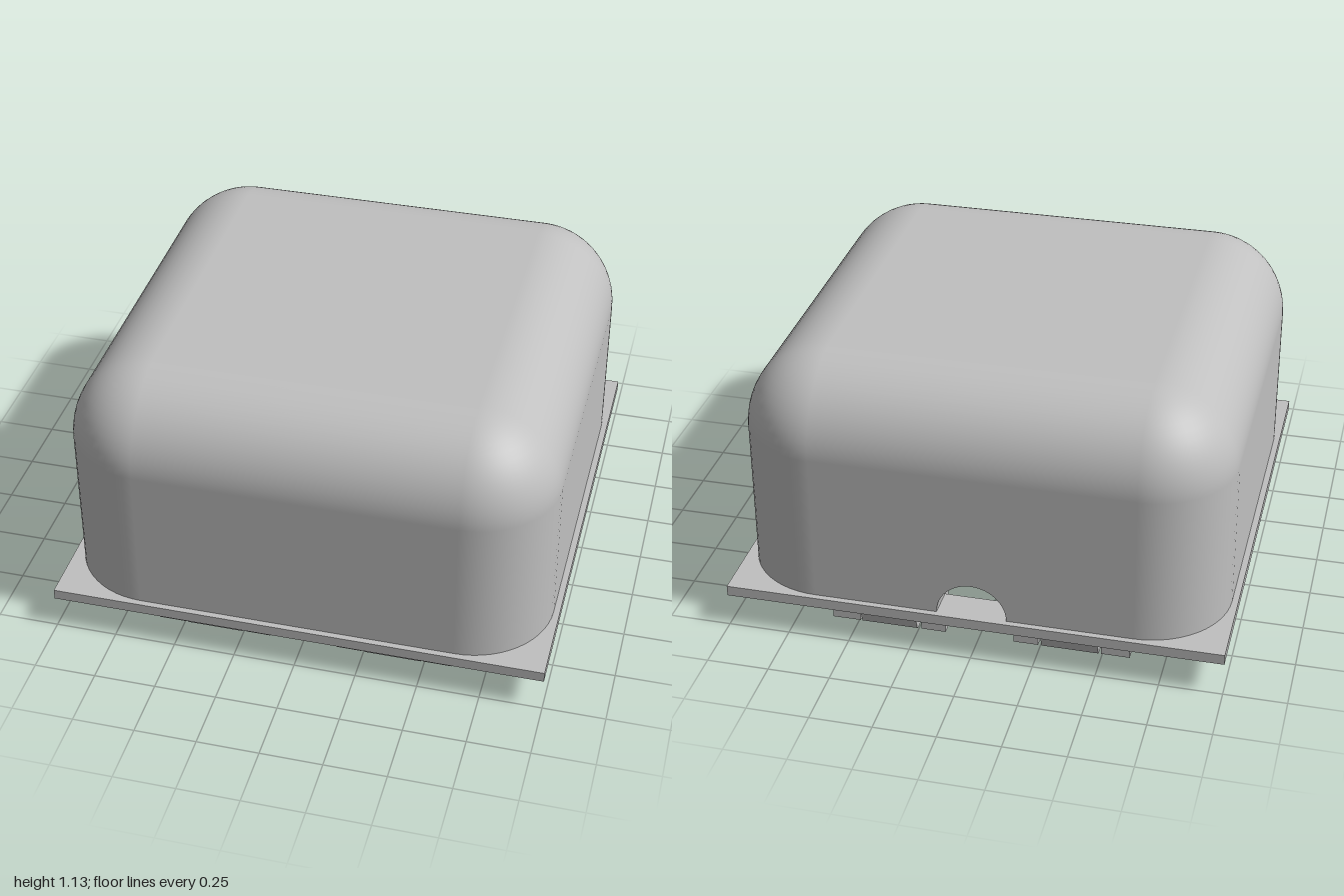
import * as THREE from 'three';

const CORE = 0.64;          // half size of the flat top
const BASE = 0.183;         // top of the flange
const SHOULDER = 0.8;       // height where the rounding begins
const R_OUT = 0.335, R_IN = 0.22;

export function createModel() {
  const model = new THREE.Group();
  const grey = new THREE.MeshStandardMaterial({ color: 0xc0c0c0 });
  grey.name = 'grey plastic';

  const add = (parent, name, geometry) => {
    const mesh = new THREE.Mesh(geometry, grey);
    mesh.name = name;
    parent.add(mesh);
    return mesh;
  };
  const box = (parent, name, x0, x1, y0, y1, z0, z1) =>
    add(parent, name, new THREE.BoxGeometry(x1 - x0, y1 - y0, z1 - z0))
      .position.set((x0 + x1) / 2, (y0 + y1) / 2, (z0 + z1) / 2);

  // Skin through rounded-square loops; each row is [radius, y, normalOut, normalUp]
  function skin(rows) {
    const N = 14, W = 4 * (N + 1);
    const pos = [], nor = [], idx = [];
    for (const [r, y, out, up] of rows) {
      for (let k = 0; k < 4; k++) {
        const sx = k === 0 || k === 3 ? CORE : -CORE;
        const sz = k < 2 ? CORE : -CORE;
        for (let i = 0; i <= N; i++) {
          const t = (k + i / N) * Math.PI / 2, c = Math.cos(t), s = Math.sin(t);
          pos.push(sx + r * c, y, sz + r * s);
          nor.push(out * c, up, out * s);
        }
      }
    }
    for (let i = 0; i < rows.length - 1; i++) {
      const low = Math.max(rows[i][1], rows[i + 1][1]) <= SHOULDER;
      for (let j = 0; j < W; j++) {
        if (low && j === 3 * (N + 1) - 1) continue; // left open for the back panel
        const a = i * W + j, b = i * W + (j + 1) % W;
        idx.push(a, a + W, b, b, a + W, b + W);
      }
    }
    const g = new THREE.BufferGeometry();
    g.setAttribute('position', new THREE.Float32BufferAttribute(pos, 3));
    g.setAttribute('normal', new THREE.Float32BufferAttribute(nor, 3));
    g.setIndex(idx);
    return g;
  }

  // Rows of one dome face, from the base up to the flat top
  function domeRows(r, sign) {
    const rows = [[r, BASE, sign, 0]];
    for (let i = 0; i <= 14; i++) {
      const t = i / 14 * Math.PI / 2, c = Math.cos(t), s = Math.sin(t);
      rows.push([r * c, SHOULDER + r * s, sign * c, sign * s]);
    }
    return rows;
  }

  // Hollow cover
  const cover = new THREE.Group();
  cover.name = 'cover';
  model.add(cover);
  add(cover, 'outerShell', skin(domeRows(R_OUT, 1)));
  add(cover, 'innerShell', skin(domeRows(R_IN, -1).reverse()));
  add(cover, 'shellRim', skin([[R_IN, BASE, 0, -1], [R_OUT, BASE, 0, -1]]));
  const cap = (name, y, turn) => {
    const mesh = add(cover, name, new THREE.PlaneGeometry(2 * CORE, 2 * CORE));
    mesh.rotation.x = turn;
    mesh.position.y = y;
  };
  cap('topFace', SHOULDER + R_OUT, -Math.PI / 2);
  cap('ceiling', SHOULDER + R_IN, Math.PI / 2);

  // Back wall with the half-round cable opening
  const wall = new THREE.Shape();
  wall.moveTo(-CORE, BASE);
  wall.lineTo(-0.14, BASE);
  wall.absarc(0, BASE, 0.14, Math.PI, 0, true);
  wall.lineTo(CORE, BASE);
  wall.lineTo(CORE, SHOULDER);
  wall.lineTo(-CORE, SHOULDER);
  wall.closePath();
  add(cover, 'backWall', new THREE.ExtrudeGeometry(wall,
    { depth: R_OUT - R_IN, bevelEnabled: false, curveSegments: 24 }))
    .position.z = -CORE - R_OUT;

  // Square flange with a square opening
  const square = (path, h) => path.moveTo(-h, -h).lineTo(h, -h).lineTo(h, h).lineTo(-h, h).closePath();
  const plate = new THREE.Shape();
  square(plate, 1);
  const opening = new THREE.Path();
  square(opening, 0.85);
  plate.holes.push(opening);
  const flange = add(model, 'flange', new THREE.ExtrudeGeometry(plate, { depth: 0.043, bevelEnabled: false }));
  flange.rotation.x = -Math.PI / 2;
  flange.position.y = 0.14;

  // Wedge-shaped catch on a clip, extruded along x
  const wedge = new THREE.Shape();
  wedge.moveTo(-0.85, 0.005);
  wedge.lineTo(-0.85, 0.068);
  wedge.lineTo(-0.88, 0.053);
  wedge.lineTo(-0.862, 0.005);
  wedge.closePath();
  const catchGeometry = new THREE.ExtrudeGeometry(wedge, { depth: 0.23, bevelEnabled: false });
  catchGeometry.rotateY(Math.PI / 2);

  // Clips and guide blocks along each of the four sides
  for (let side = 0; side < 4; side++) {
    const row = new THREE.Group();
    row.name = ['frontClips', 'leftClips', 'backClips', 'rightClips'][side];
    row.rotation.y = side * Math.PI / 2;
    model.add(row);
    for (const s of [-1, 1]) {
      const span = (name, a, b, y0, y1, z0, z1) =>
        box(row, name, Math.min(s * a, s * b), Math.max(s * a, s * b), y0, y1, z0, z1);
      span('clip', 0.255, 0.485, 0, 0.45, 0.805, 0.855);
      span('clipTab', 0.255, 0.485, 0.42, 0.45, 0.74, 0.862);
      span('outerGuide', 0.495, 0.61, 0, 0.36, 0.8, 0.855);
      if (side % 2 === 0) span('innerGuide', 0.14, 0.24, 0, 0.36, 0.8, 0.855);
      add(row, 'catch', catchGeometry).position.x = s * 0.37 - 0.115;
    }
    if (side % 2 === 1) box(row, 'centreGuide', -0.24, 0.24, 0, 0.36, 0.8, 0.855);
  }

  // Ledge inside the front wall
  box(model, 'innerLedge', -0.6, 0.6, 0.46, 0.49, 0.64, 0.865);

  return model;
}
